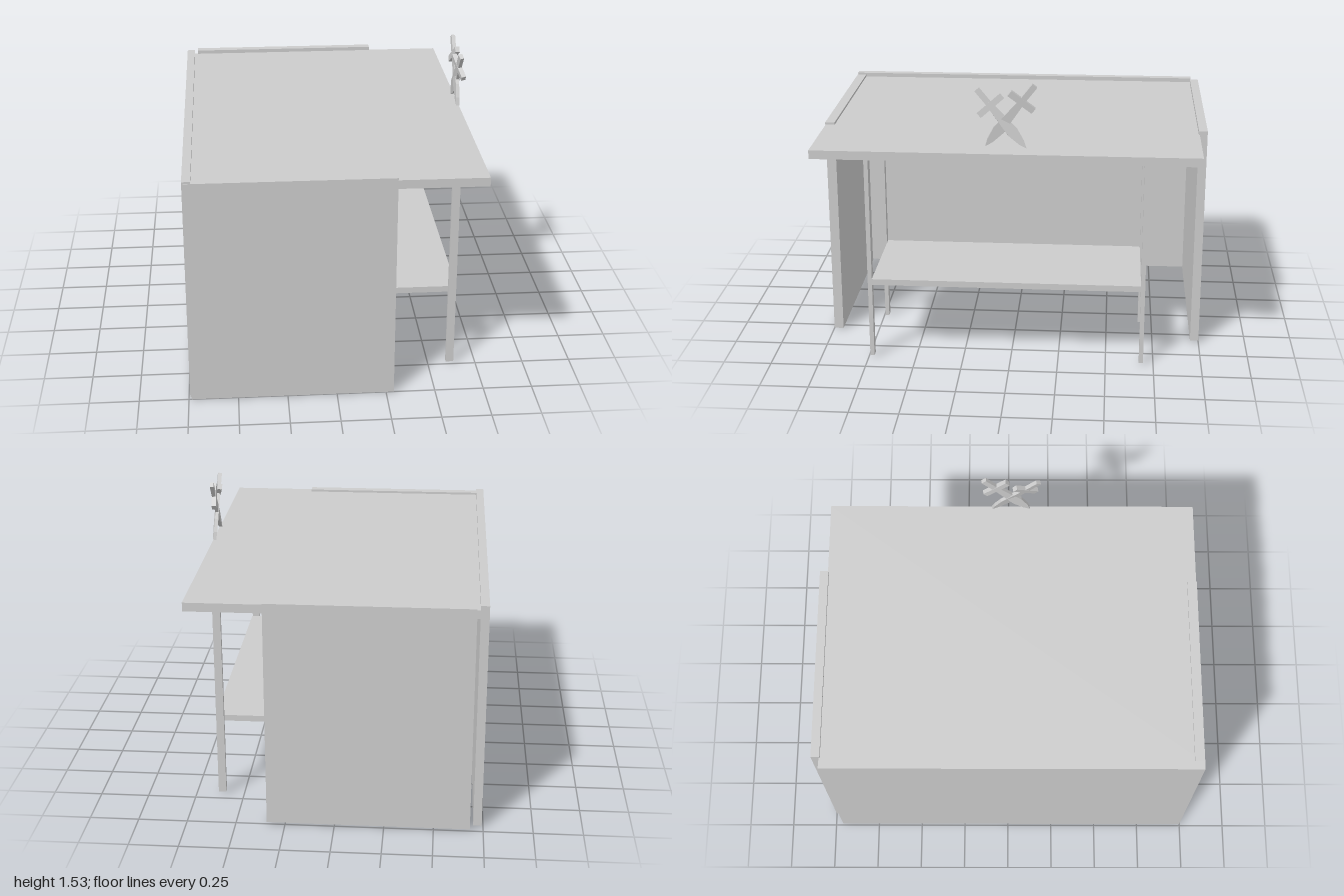
import * as THREE from 'three';

const material = new THREE.MeshStandardMaterial({ color: 0xcccccc, flatShading: true });

// Box given by its lower and upper limits on each axis
function slab(name, [x0, x1], [y0, y1], [z0, z1]) {
  const mesh = new THREE.Mesh(new THREE.BoxGeometry(x1 - x0, y1 - y0, z1 - z0), material);
  mesh.position.set((x0 + x1) / 2, (y0 + y1) / 2, (z0 + z1) / 2);
  mesh.name = name;
  return mesh;
}

// Short sword: tip at the origin, pommel up the y axis
function makeSword(name, length) {
  const sword = new THREE.Group();
  sword.name = name;
  const guardY = length - 0.105;

  // Leaf-shaped blade, mirrored from one edge
  const edge = [[0.016, 0.04], [0.029, 0.11], [0.024, 0.17], [0.016, guardY]];
  const outline = [[0, 0], ...edge, ...edge.slice().reverse().map(([x, y]) => [-x, y])];
  const shape = new THREE.Shape(outline.map(([x, y]) => new THREE.Vector2(x, y)));
  const bladeGeometry = new THREE.ExtrudeGeometry(shape, { depth: 0.018, bevelEnabled: false });
  bladeGeometry.translate(0, 0, -0.009);
  const blade = new THREE.Mesh(bladeGeometry, material);
  blade.name = 'blade';

  sword.add(
    blade,
    slab('crossGuard', [-0.075, 0.075], [guardY - 0.016, guardY + 0.016], [-0.012, 0.012]),
    slab('grip', [-0.015, 0.015], [guardY, length], [-0.01, 0.01])
  );
  return sword;
}

export function createModel() {
  const model = new THREE.Group();
  model.name = 'desk';

  // Desk top and the three enclosing panels
  model.add(
    slab('deskTop', [-0.7, 0.735], [1.13, 1.175], [-0.96, 0.998]),
    slab('backPanel', [-0.743, -0.7], [0.01, 1.197], [-0.96, 0.998]),
    slab('leftSidePanel', [-0.735, 0.29], [0, 1.187], [0.95, 1]),
    slab('rightSidePanel', [-0.683, 0.343], [0.01, 1.195], [-1, -0.955])
  );

  // Four thin legs
  for (const x of [0.085, 0.595]) {
    for (const z of [-0.697, 0.72]) {
      model.add(slab('leg', [x, x + 0.04], [0.01, 1.13], [z, z + 0.022]));
    }
  }

  // Shelf held between the legs
  model.add(slab('shelf', [0.083, 0.638], [0.415, 0.447], [-0.675, 0.72]));

  // Crossed swords: tip position, lean from vertical and roll about the blade
  const swords = [
    { name: 'swordA', tip: [0.714, 1.203, -0.088], lean: 0.687, roll: 0.25, length: 0.385 },
    { name: 'swordB', tip: [0.712, 1.212, 0.115], lean: -0.665, roll: 0.1, length: 0.395 },
  ];
  for (const { name, tip, lean, roll, length } of swords) {
    const sword = makeSword(name, length);
    sword.position.set(...tip);
    sword.rotation.set(lean, Math.PI / 2 + roll, 0);
    model.add(sword);
  }

  return model;
}
